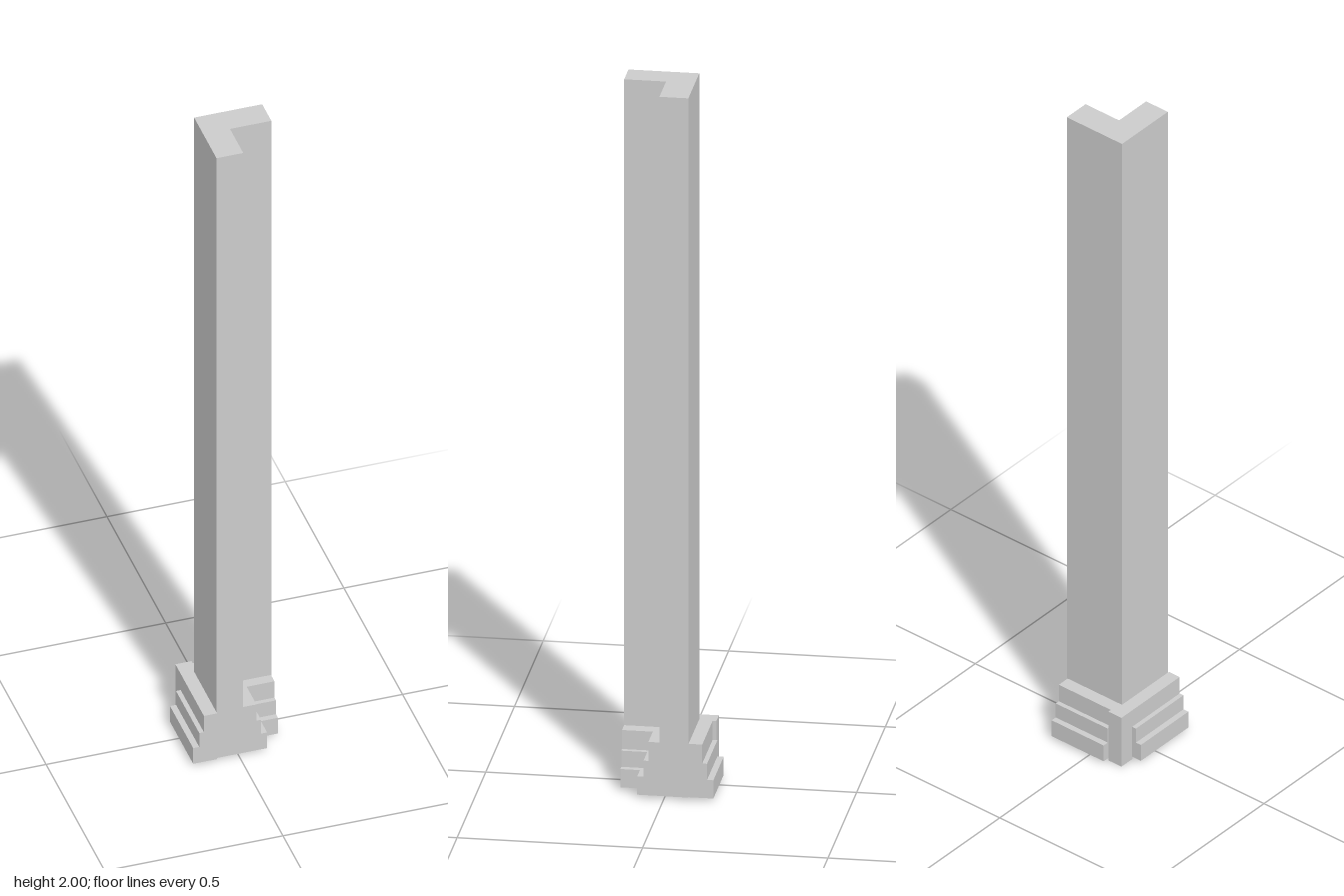
import * as THREE from 'three';

const material = new THREE.MeshStandardMaterial({ color: 0xcccccc, flatShading: true, side: THREE.DoubleSide });

const BOTTOM = 0.008;
// Stepped base section: [distance out from the shaft, height]
const STEPS = [
  [0.067, BOTTOM], [0.067, 0.06], [0.05, 0.06], [0.05, 0.106], [0.037, 0.106], [0.037, 0.16], [0, 0.16],
];

function addMesh(group, name, geometry) {
  const mesh = new THREE.Mesh(geometry, material);
  mesh.name = name;
  group.add(mesh);
}

// Upright prism over an [x, z] outline, open underneath
function openPrism(outline, y0, y1) {
  const shape = new THREE.Shape(outline.map(([x, z]) => new THREE.Vector2(x, -z)));
  const solid = new THREE.ExtrudeGeometry(shape, { depth: y1 - y0, bevelEnabled: false });
  solid.rotateX(-Math.PI / 2).translate(0, y0, 0);
  const p = solid.attributes.position;
  const kept = [];
  for (let i = 0; i < p.count; i += 3) {
    const isBottom = [0, 1, 2].every((k) => p.getY(i + k) < y0 + 1e-5);
    if (!isBottom) for (let k = 0; k < 3; k++) kept.push(p.getX(i + k), p.getY(i + k), p.getZ(i + k));
  }
  return fromPositions(kept);
}

// Stepped moulding swept through stations, each mapping distance to [x, z]; ends are capped
function moulding(stations) {
  const out = [];
  const point = (s, [d, y]) => {
    const [x, z] = stations[s](d);
    return [x, y, z];
  };
  for (let s = 0; s < stations.length - 1; s++) {
    for (let i = 0; i < STEPS.length - 1; i++) {
      const a = point(s, STEPS[i]);
      const b = point(s + 1, STEPS[i]);
      const c = point(s + 1, STEPS[i + 1]);
      const d = point(s, STEPS[i + 1]);
      out.push(...a, ...b, ...c, ...a, ...c, ...d);
    }
  }
  const section = [[0, BOTTOM], ...STEPS];
  const faces = THREE.ShapeUtils.triangulateShape(section.map(([d, y]) => new THREE.Vector2(d, y)), []);
  for (const [i, j, k] of faces) {
    const last = stations.length - 1;
    for (const n of [i, j, k]) out.push(...point(0, section[n]));
    for (const n of [k, j, i]) out.push(...point(last, section[n]));
  }
  return fromPositions(out);
}

function fromPositions(values) {
  const geometry = new THREE.BufferGeometry();
  geometry.setAttribute('position', new THREE.Float32BufferAttribute(values, 3));
  geometry.computeVertexNormals();
  return geometry;
}

export function createModel() {
  const group = new THREE.Group();
  group.name = 'cornerColumn';

  // L-shaped shaft
  addMesh(group, 'shaft', openPrism([
    [-0.063, -0.066], [0.128, -0.066], [0.128, 0.012],
    [0.012, 0.012], [0.012, 0.125], [-0.063, 0.125],
  ], BOTTOM, 2));

  // Stepped base on the two outer faces
  addMesh(group, 'rightBaseMoulding', moulding([
    (d) => [-0.063 - d, -0.068],
    (d) => [-0.063 - d, 0.13],
  ]));
  addMesh(group, 'backBaseMoulding', moulding([
    (d) => [0.125, -0.066 - d],
    (d) => [-0.055, -0.066 - d],
  ]));

  // Stepped base following the inner corner, slightly shallower on one arm
  addMesh(group, 'innerBaseMoulding', moulding([
    (d) => [0.012 + d, 0.125],
    (d) => [0.012 + d, 0.012 + Math.max(0, d - 0.007)],
    (d) => [0.127, 0.012 + Math.max(0, d - 0.007)],
  ]));

  // Plain block covering the outer corner between the mouldings
  addMesh(group, 'cornerBlock', openPrism([
    [-0.1, -0.113], [-0.055, -0.113], [-0.055, -0.066], [-0.1, -0.066],
  ], 0, 0.16));

  return group;
}
